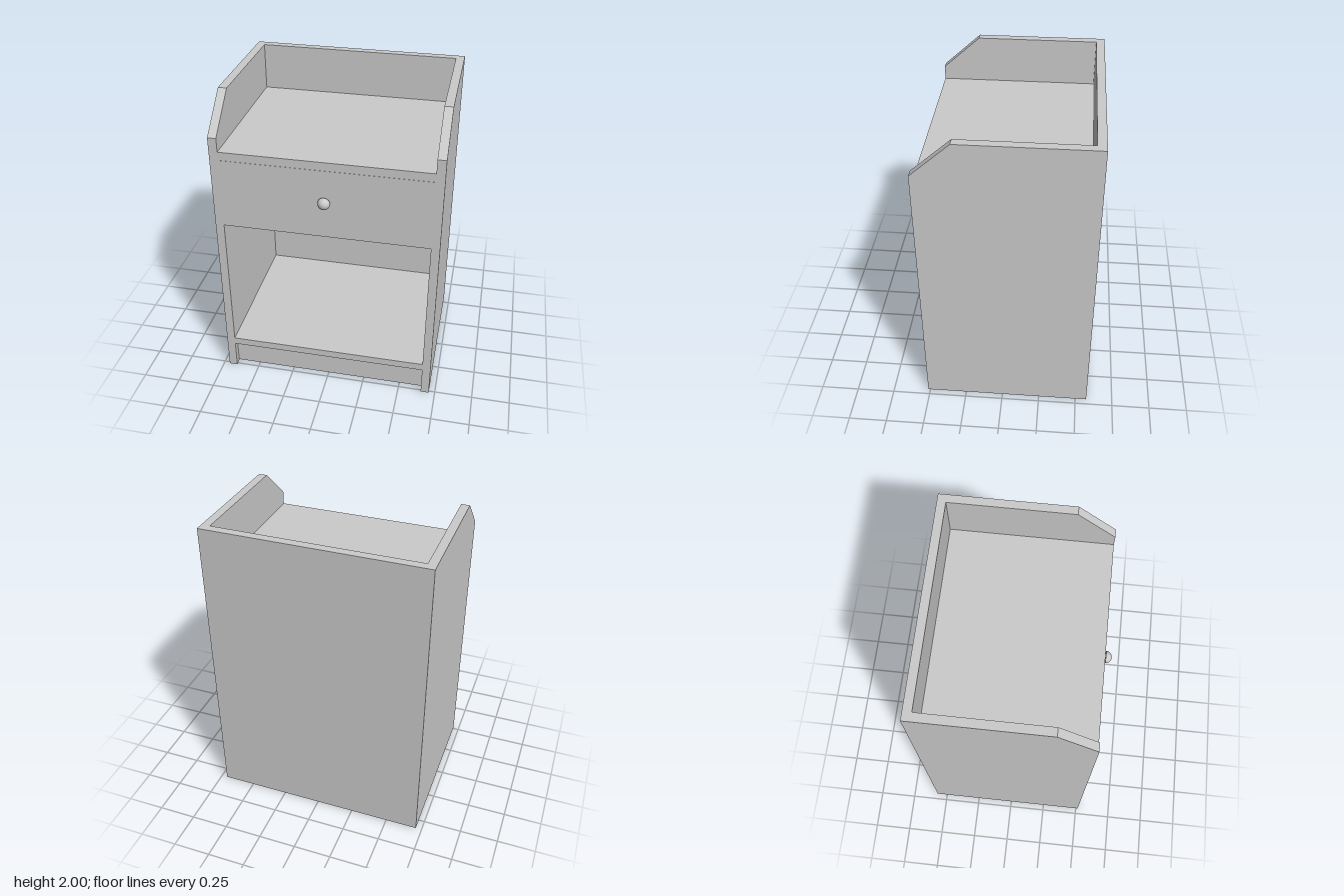
import * as THREE from 'three';

const material = new THREE.MeshStandardMaterial({ color: 0xcccccc });

// Box given by its extents along each axis
function panel(name, [x0, x1], [y0, y1], [z0, z1]) {
  const mesh = new THREE.Mesh(new THREE.BoxGeometry(x1 - x0, y1 - y0, z1 - z0), material);
  mesh.position.set((x0 + x1) / 2, (y0 + y1) / 2, (z0 + z1) / 2);
  mesh.name = name;
  return mesh;
}

export function createModel() {
  const group = new THREE.Group();
  group.name = 'nightstand';

  const outer = 0.71, inner = 0.655, front = 0.515, back = -0.575, backInner = -0.52;
  const across = [-inner, inner];

  // Side panels with a sloped top front corner (profile drawn in z, y)
  const profile = new THREE.Shape([
    [front, 0], [front, 1.78], [0.27, 2], [backInner, 2], [backInner, 0],
  ].map(([z, y]) => new THREE.Vector2(-z, y)));
  const sideGeometry = new THREE.ExtrudeGeometry(profile, { depth: outer - inner, bevelEnabled: false });
  sideGeometry.rotateY(Math.PI / 2);
  for (const [name, x] of [['leftSide', inner], ['rightSide', -outer]]) {
    const side = new THREE.Mesh(sideGeometry, material);
    side.position.x = x;
    side.name = name;
    group.add(side);
  }

  // Carcass
  group.add(
    panel('backPanel', [-outer, outer], [0, 2], [back, backInner]),
    panel('topShelf', across, [1.635, 1.69], [backInner, front]),
    panel('lowerShelf', across, [0.195, 0.245], [backInner, front]),
    panel('kickBoard', across, [0.01, 0.178], [0.415, 0.47]),
  );

  // Drawer: front, bottom, sides and back
  const drawer = new THREE.Group();
  drawer.name = 'drawer';
  drawer.add(
    panel('drawerFront', across, [1.175, 1.634], [0.46, front]),
    panel('drawerBottom', [-0.645, 0.645], [1.18, 1.22], [-0.5, 0.46]),
    panel('drawerLeft', [0.6, 0.645], [1.22, 1.58], [-0.5, 0.46]),
    panel('drawerRight', [-0.645, -0.6], [1.22, 1.58], [-0.5, 0.46]),
    panel('drawerBack', [-0.6, 0.6], [1.22, 1.58], [-0.5, -0.455]),
  );

  // Knob: cylindrical stem and half-round head
  const stem = new THREE.Mesh(new THREE.CylinderGeometry(0.023, 0.023, 0.022, 32), material);
  stem.rotation.x = Math.PI / 2;
  stem.position.set(0, 1.425, front + 0.011);
  stem.name = 'knobStem';
  const dome = new THREE.Mesh(new THREE.SphereGeometry(0.039, 32, 12, 0, Math.PI * 2, 0, Math.PI / 2), material);
  dome.rotation.x = Math.PI / 2;
  dome.position.set(0, 1.425, 0.536);
  dome.name = 'knobHead';
  const underside = new THREE.Mesh(new THREE.CircleGeometry(0.039, 32), material);
  underside.rotation.y = Math.PI;
  underside.position.copy(dome.position);
  underside.name = 'knobUnderside';
  drawer.add(stem, dome, underside);

  group.add(drawer);
  return group;
}
